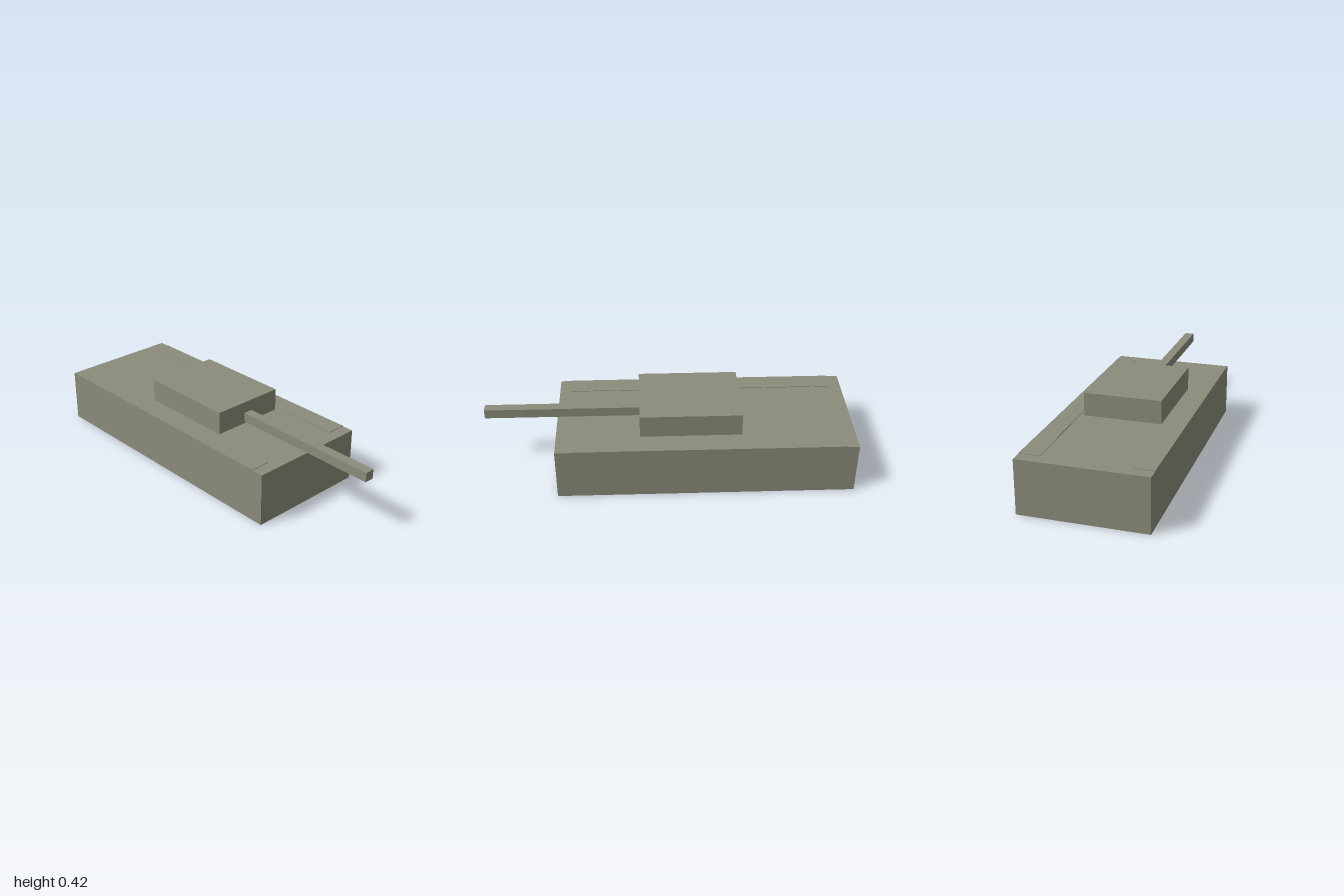
import * as THREE from 'three';

const material = new THREE.MeshStandardMaterial({ color: 0x8b8c7a, flatShading: true });

// Box given by its [min, max] extent on each axis
function block(name, [x0, x1], [y0, y1], [z0, z1]) {
  const mesh = new THREE.Mesh(new THREE.BoxGeometry(x1 - x0, y1 - y0, z1 - z0), material);
  mesh.position.set((x0 + x1) / 2, (y0 + y1) / 2, (z0 + z1) / 2);
  mesh.name = name;
  return mesh;
}

export function createModel() {
  const model = new THREE.Group();
  model.name = 'tank';

  // Body, turret and gun
  model.add(
    block('hull', [-0.338, 0.338], [0, 0.292], [-1, 0.605]),
    block('turret', [-0.209, 0.209], [0.292, 0.418], [-0.39, 0.156]),
    block('gunBarrel', [-0.026, 0.026], [0.302, 0.354], [0.156, 1])
  );

  // Thin raised track covers along both upper edges, sunk slightly into the hull
  const cover = { y: [0.28, 0.295], z: [-0.935, 0.54] };
  model.add(
    block('leftTrackCover', [0.23, 0.338], cover.y, cover.z),
    block('rightTrackCover', [-0.338, -0.23], cover.y, cover.z)
  );

  return model;
}
